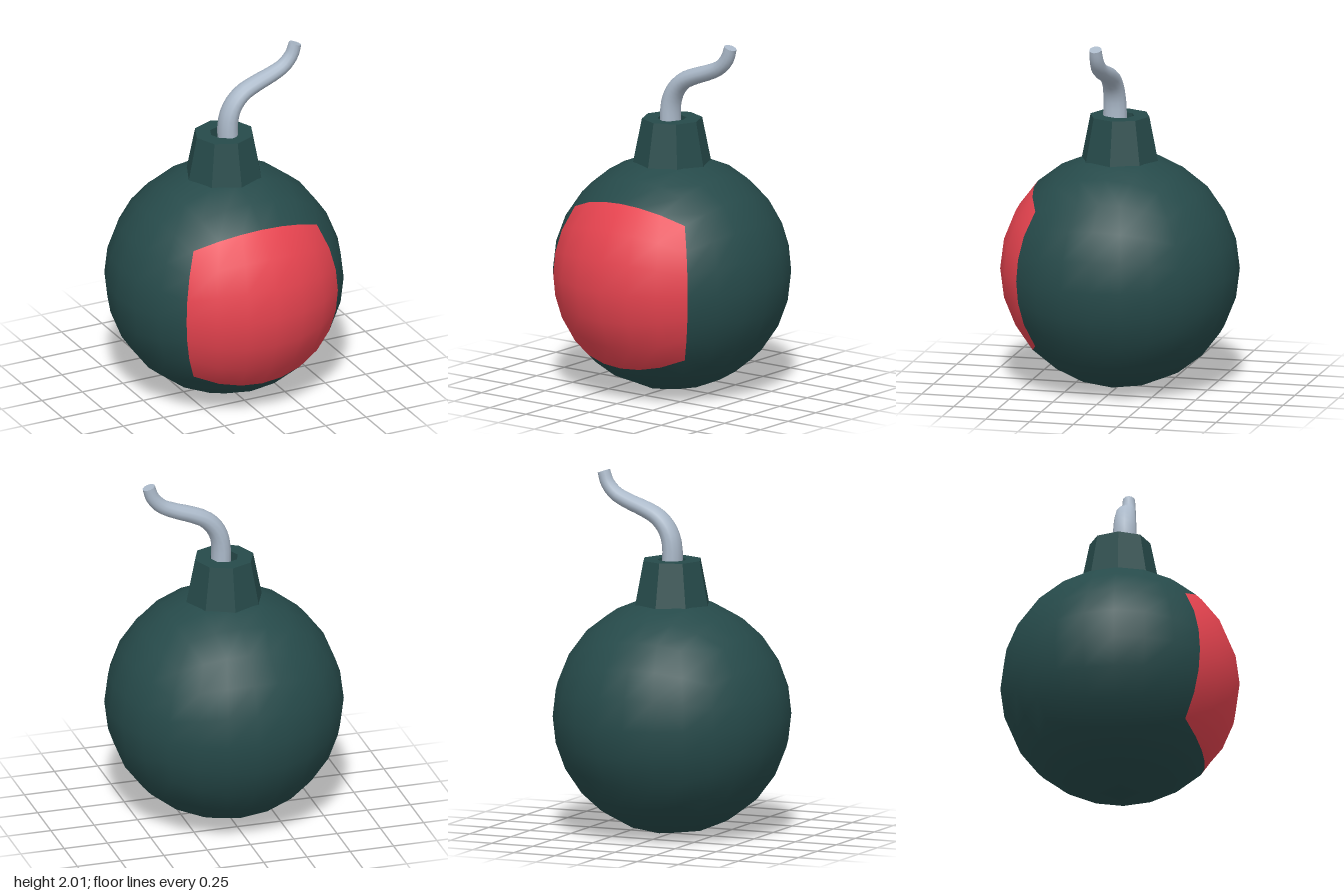
import * as THREE from 'three';

const material = (name, color) => {
  const m = new THREE.MeshStandardMaterial({ color });
  m.name = name;
  return m;
};

// Ball: a cube with equal-angle divisions pushed out to a sphere
function ballGeometry(radius) {
  const geo = new THREE.BoxGeometry(2, 2, 2, 6, 6, 6);
  const pos = geo.attributes.position, nor = geo.attributes.normal;
  const v = new THREE.Vector3();
  const spread = (t) => Math.tan((t * Math.PI) / 4);
  for (let i = 0; i < pos.count; i++) {
    v.set(spread(pos.getX(i)), spread(pos.getY(i)), spread(pos.getZ(i))).normalize();
    nor.setXYZ(i, v.x, v.y, v.z);
    pos.setXYZ(i, v.x * radius, v.y * radius, v.z * radius);
  }
  return geo;
}

// Neck: eight-sided tapered collar with a hole sunk into its top
function neckGeometry() {
  const profile = [[0.222, 1.26], [0.168, 1.53], [0.08, 1.53], [0.08, 1.46], [0, 1.46]];
  const geo = new THREE.LatheGeometry(profile.map(([r, y]) => new THREE.Vector2(r, y)), 8).toNonIndexed();
  geo.computeVertexNormals();
  return geo;
}

// Fuse: tapering oval cross-sections swept along a curve in the x-y plane
function fuseGeometry(path, z, steps = 22, sides = 12) {
  const positions = [], index = [];
  for (let i = 0; i <= steps; i++) {
    const t = i / steps;
    const p = path.getPoint(t), d = path.getTangent(t);
    const flat = THREE.MathUtils.lerp(0.056, 0.036, t);
    const deep = THREE.MathUtils.lerp(0.07, 0.034, t);
    for (let j = 0; j < sides; j++) {
      const a = (j / sides) * Math.PI * 2;
      const n = Math.cos(a) * flat;
      positions.push(p.x + d.y * n, p.y - d.x * n, z - Math.sin(a) * deep);
    }
  }
  for (let i = 0; i < steps; i++) {
    for (let j = 0; j < sides; j++) {
      const a = i * sides + j, b = i * sides + ((j + 1) % sides);
      index.push(a, b, a + sides, b, b + sides, a + sides);
    }
  }
  // Tip cap has its own vertices so its rim stays sharp
  const rim = positions.slice(-sides * 3), first = positions.length / 3;
  positions.push(...rim);
  for (let j = 1; j < sides - 1; j++) index.push(first, first + j, first + j + 1);
  const geo = new THREE.BufferGeometry();
  geo.setAttribute('position', new THREE.Float32BufferAttribute(positions, 3));
  geo.setIndex(index);
  geo.computeVertexNormals();
  return geo;
}

export function createModel() {
  const green = material('darkGreen', 0x264a4a);
  const red = material('red', 0xe6434f);
  const grey = material('fuseGrey', 0xabb9c9);
  const group = new THREE.Group();
  group.name = 'roundBomb';

  const add = (name, geo, mat) => {
    const mesh = new THREE.Mesh(geo, mat);
    mesh.name = name;
    group.add(mesh);
    return mesh;
  };

  // Ball, with its front face painted red
  add('ball', ballGeometry(0.662), [green, green, green, green, red, green]).position.y = 0.662;

  add('neck', neckGeometry(), green);

  const path = new THREE.CatmullRomCurve3([
    [0.012, 1.45], [0.012, 1.61], [0.042, 1.695], [0.098, 1.757], [0.18, 1.798],
    [0.28, 1.835], [0.355, 1.873], [0.405, 1.93], [0.427, 1.994],
  ].map(([x, y]) => new THREE.Vector3(x, y, 0)));
  add('fuse', fuseGeometry(path, 0.026), grey);

  return group;
}
